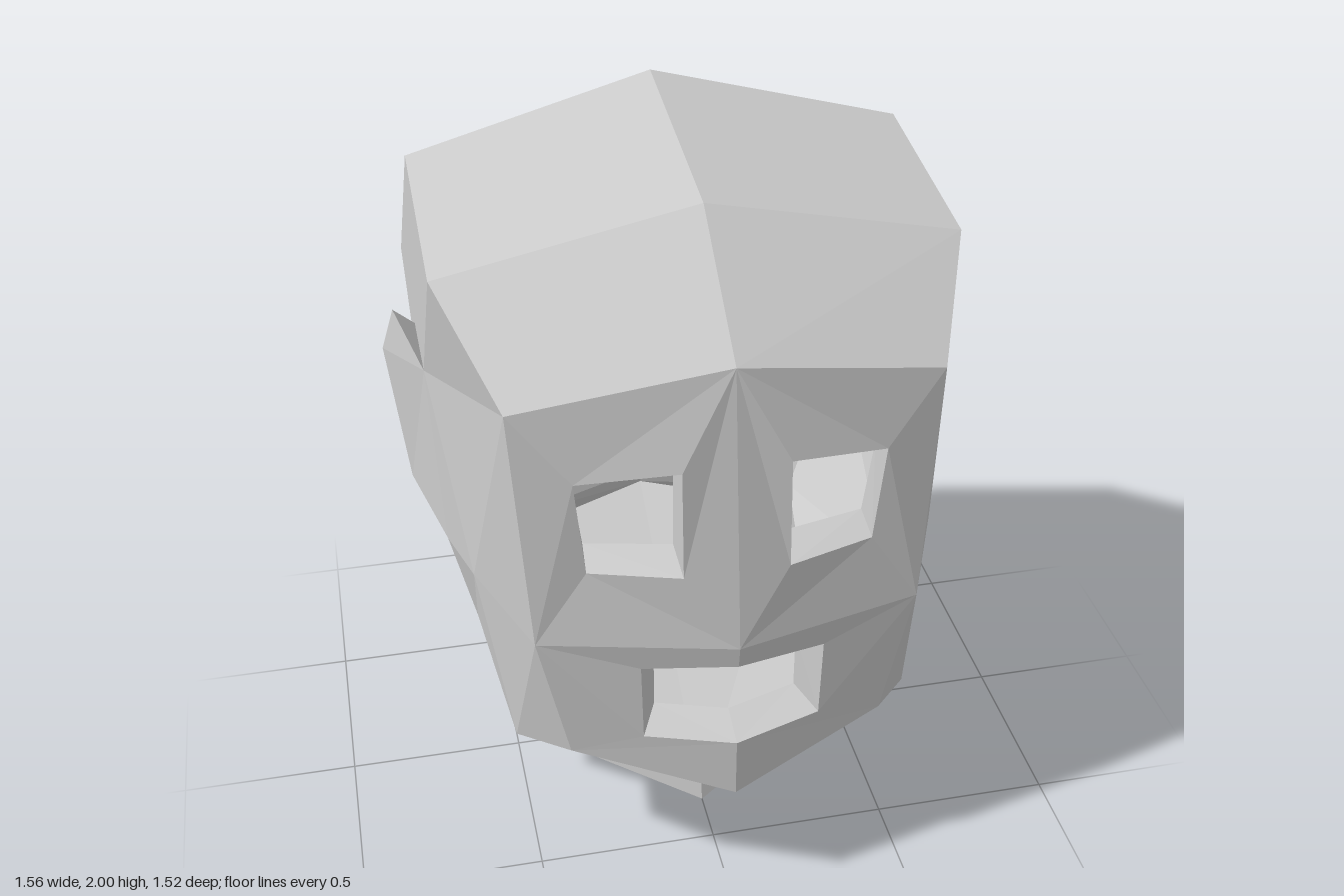
import * as THREE from 'three';

// Named points of the model's left half, [x, y, z]
const P = {
  // centre line: forehead, crown, back, nape, throat, chin
  K0: [0, 1.67, .66], K1: [0, 1.92, .30], K2: [0, 2, -.36], K3: [0, 1.49, -.76], K4: [0, .9, -.66],
  K5: [0, .57, -.57], K6: [0, .19, .31], K7: [0, .27, .48], K8: [0, .41, .75], N: [0, .91, .76],
  // corner ring round the side of the head
  R0: [.54, 1.57, .6], R1: [.67, 1.77, .28], R2: [.67, 1.84, -.3], R3: [.69, 1.4, -.64], R4: [.64, .95, -.56],
  R5: [.445, .56, -.4], R6: [.38, .29, .21], R7: [.545, .47, .47], R8: [.42, .54, .64], R9: [.5, .91, .64],
  // cheek, jaw and the roots of the ear
  b: [.62, .95, .37], s: [.6, .6, .1], A: [.685, 1.36, 0], E: [.665, .88, .1],
  Dp: [.66, .91, -.21], Cp: [.69, 1.28, -.34], Bp: [.675, 1.35, -.26],
  // ear rim
  B: [.745, 1.43, -.22], C: [.78, 1.28, -.28], D: [.735, .905, -.19],
  // eye opening and its inner edge
  ei: [.135, 1.415, .695], fi: [.135, 1.12, .715], fo: [.365, 1.12, .645], eo: [.39, 1.385, .645],
  gi: [.14, 1.37, .61], hi: [.14, 1.15, .61], ho: [.36, 1.15, .56], go: [.385, 1.35, .56],
  // mouth opening and its inner edge
  Mb: [0, .585, .75], m1: [.235, .6, .69], m2: [.24, .83, .69], Mt: [0, .845, .75],
  Wb: [0, .62, .65], w1: [.19, .63, .6], w2: [.19, .795, .6], Wt: [0, .81, .65],
  // neck base
  n0: [0, 0, .35], n1: [.435, .15, .15], n2: [.455, .45, -.46], n3: [0, .51, -.59],
};

const material = new THREE.MeshStandardMaterial({ color: 0xcccccc, flatShading: true, side: THREE.DoubleSide });

// Triangles and quads as "A B C, A B C D"; each is mirrored to the other side
function part(name, faces, sides = [1, -1]) {
  const pos = [];
  for (const side of sides) {
    for (const face of faces.split(',')) {
      const v = face.trim().split(' ').map((k) => P[k]);
      for (let i = 1; i < v.length - 1; i++) {
        const tri = side > 0 ? [v[0], v[i], v[i + 1]] : [v[0], v[i + 1], v[i]];
        for (const [x, y, z] of tri) pos.push(x * side, y, z);
      }
    }
  }
  const geo = new THREE.BufferGeometry();
  geo.setAttribute('position', new THREE.Float32BufferAttribute(pos, 3));
  geo.computeVertexNormals();
  const mesh = new THREE.Mesh(geo, material);
  mesh.name = name;
  return mesh;
}

// Wall faces joining an opening's outer edge to its inner edge
function walls(outer, inner, closed) {
  const p = outer.split(' '), q = inner.split(' '), out = [];
  for (let i = 0; i < p.length - (closed ? 0 : 1); i++) {
    const j = (i + 1) % p.length;
    out.push([p[i], p[j], q[j], q[i]].join(' '));
  }
  return out.join(',');
}

export function createModel() {
  const group = new THREE.Group();
  group.name = 'head';

  // broad strips over the top and down the back
  const strips = [];
  for (let i = 0; i < 5; i++) strips.push(`K${i} R${i} R${i + 1} K${i + 1}`);
  group.add(part('skull', strips.join(',')));

  // temples, cheeks and sides of the jaw
  group.add(part('headSides',
    'R0 R9 b, R0 b A, R0 A R1, R1 A R2, R2 A Cp, R2 Cp R3, Cp R4 R3, Cp Dp R4, A E Dp, A Dp Cp, ' +
    'b E A, b s E, E s Dp, s R4 Dp, R9 R8 R7, R9 R7 b, b R7 s, s R7 R6, s R6 R5, s R5 R4'));

  // face, leaving the eyes and mouth open
  group.add(part('face',
    'K0 ei eo, K0 eo R0, R0 eo R9, eo fo R9, K0 N fi, K0 fi ei, N R9 fo, N fo fi, ' +
    'N Mt m2, N m2 R9, R9 m2 m1, R9 m1 R8, Mb K8 R8, Mb R8 m1'));

  // underside of the chin
  group.add(part('chin', 'K8 K7 R7, K8 R7 R8, K7 R6 R7, K7 K6 R6'));

  // recessed rims of the openings
  group.add(part('eyeSockets', walls('ei fi fo eo', 'gi hi ho go', true)));
  group.add(part('mouthRim', walls('Mb m1 m2 Mt', 'Wb w1 w2 Wt', false)));

  // wedge-shaped ears, flaring towards the back
  const ear = 'A E D, A D C, A C B, C D Dp, C Dp Cp, B C Cp, B Cp Bp, A B Bp, E Dp D';
  group.add(part('leftEar', ear, [1]), part('rightEar', ear, [-1]));

  // short slanted neck with a closed base
  group.add(part('neck',
    'K6 n0 n1, K6 n1 R6, R6 n1 n2, R6 n2 R5, R5 n2 n3, R5 n3 K5, n0 n3 n2, n0 n2 n1'));

  return group;
}
